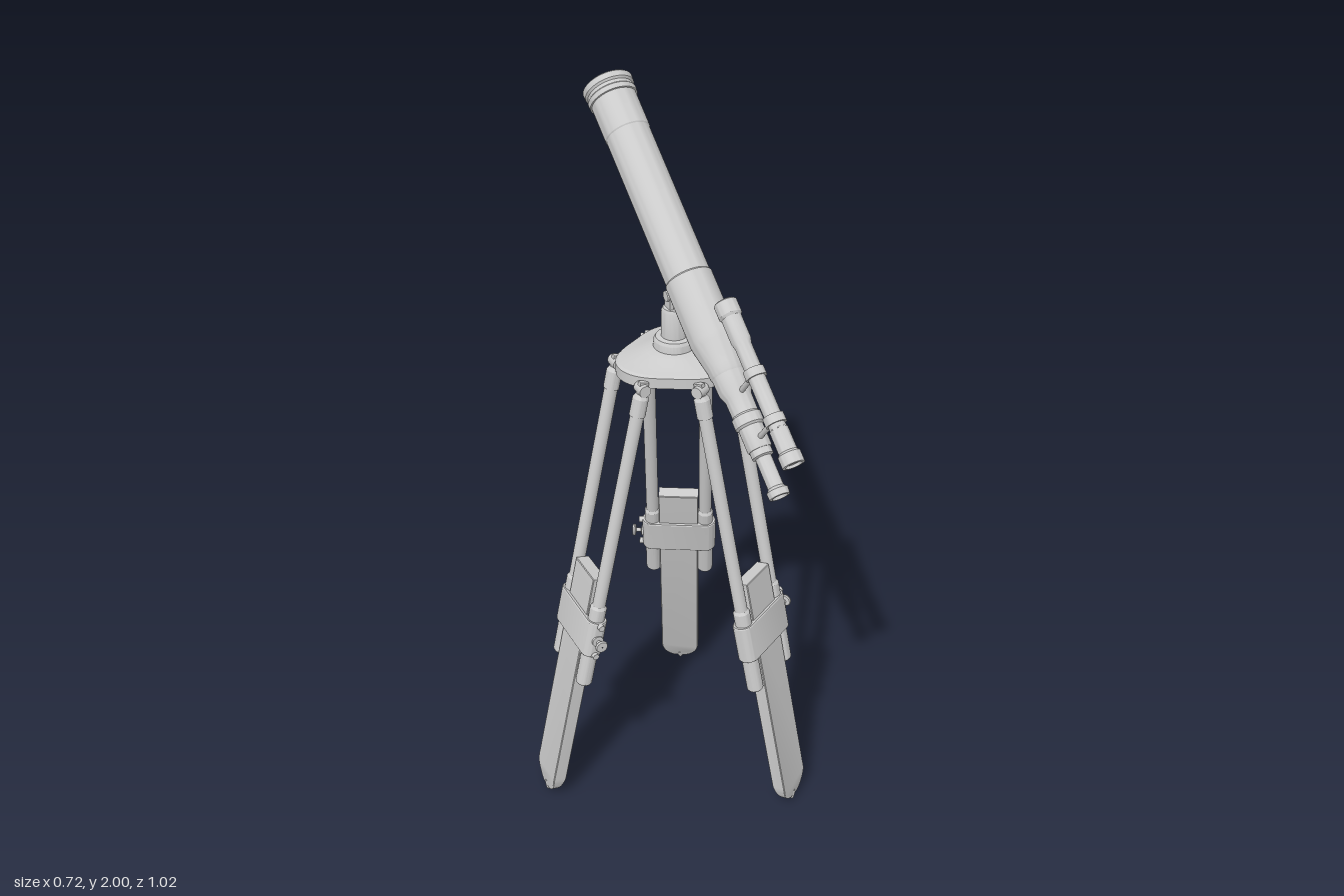
import * as THREE from 'three';
import { toCreasedNormals } from 'three/addons/utils/BufferGeometryUtils.js';

const material = new THREE.MeshStandardMaterial({ color: 0xcccccc });

function add(parent, name, geometry, x = 0, y = 0, z = 0) {
  const mesh = new THREE.Mesh(geometry, material);
  mesh.name = name;
  mesh.position.set(x, y, z);
  parent.add(mesh);
  return mesh;
}

// Turned part from [radius, height] pairs, listed upwards along the outside
function turned(profile, segments = 40) {
  const points = profile.map(([r, y]) => new THREE.Vector2(r, y));
  return toCreasedNormals(new THREE.LatheGeometry(points, segments), 0.5);
}

const cylinder = (r, h, segments = 24) => new THREE.CylinderGeometry(r, r, h, segments);

// Three-lobed, hollow head plate: the rim radius swells towards each leg
function headPlateGeometry(legAngle) {
  const profile = [[0.001, 1.355], [0.135, 1.35], [0.145, 1.333], [0.155, 1.333], [0.155, 1.362],
    [0.148, 1.368], [0.11, 1.374], [0.075, 1.385], [0.05, 1.392], [0.001, 1.392]];
  const geometry = new THREE.LatheGeometry(profile.map(([r, y]) => new THREE.Vector2(r, y)), 96);
  const p = geometry.attributes.position;
  for (let i = 0; i < p.count; i++) {
    const x = p.getX(i), z = p.getZ(i), r = Math.hypot(x, z);
    const lobe = Math.cos(3 * (Math.atan2(z, x) - legAngle));
    const k = 1 + (0.1 * lobe - 0.08) * THREE.MathUtils.smoothstep(r, 0.05, 0.14);
    p.setXYZ(i, x * k, p.getY(i), z * k);
  }
  return toCreasedNormals(geometry, 0.5);
}

// Flat board with rounded lower corners, thinning towards the foot
function boardGeometry() {
  const w = 0.056, top = -0.585, end = -1.342;
  const shape = new THREE.Shape();
  shape.moveTo(-w, top);
  shape.lineTo(-w, end + 0.06);
  shape.quadraticCurveTo(-w + 0.005, end + 0.01, -0.018, end);
  shape.lineTo(0.018, end);
  shape.quadraticCurveTo(w - 0.005, end + 0.01, w, end + 0.06);
  shape.lineTo(w, top);
  const geometry = new THREE.ExtrudeGeometry(shape, {
    depth: 0.036, bevelEnabled: true, bevelSize: 0.002, bevelThickness: 0.002, bevelSegments: 1, curveSegments: 10,
  });
  geometry.translate(0, 0, -0.018);
  const p = geometry.attributes.position;
  for (let i = 0; i < p.count; i++) {
    const taper = THREE.MathUtils.smoothstep(-p.getY(i), 1.275, 1.345);
    p.setZ(i, p.getZ(i) * (1 - 0.5 * taper));
  }
  geometry.rotateY(Math.PI / 2);
  return toCreasedNormals(geometry, 0.5);
}

// Oblong band that wraps both rods and the board
function clampGeometry() {
  const r = 0.027, half = 0.08;
  const shape = new THREE.Shape();
  shape.absarc(half, 0, r, -Math.PI / 2, Math.PI / 2);
  shape.absarc(-half, 0, r, Math.PI / 2, Math.PI * 1.5);
  shape.closePath();
  const geometry = new THREE.ExtrudeGeometry(shape, {
    depth: 0.104, bevelEnabled: true, bevelSize: 0.002, bevelThickness: 0.003, bevelSegments: 1, curveSegments: 14,
  });
  geometry.translate(0, 0, -0.052);
  geometry.rotateX(Math.PI / 2);
  geometry.rotateY(Math.PI / 2);
  return toCreasedNormals(geometry, 0.5);
}

// One leg, hanging along -y from its hinge; x points outwards
function makeLeg() {
  const leg = new THREE.Group();
  leg.name = 'leg';
  leg.position.set(0.13, 1.33, 0);
  leg.rotation.z = 0.212;
  for (const side of [-1, 1]) {
    const z = side * 0.078;
    add(leg, 'rod', cylinder(0.018, 0.87), 0, -0.465, z);
    add(leg, 'rodCap', turned([[0.001, -0.07], [0.021, -0.07], [0.021, -0.02], [0.014, -0.008], [0.001, -0.008]], 24), 0, 0, z);
    add(leg, 'rodSleeve', turned([[0.001, -0.912], [0.02, -0.912], [0.023, -0.907], [0.023, -0.66], [0.018, -0.652]], 24), 0, 0, z);
    add(leg, 'hingeLug', new THREE.BoxGeometry(0.024, 0.045, 0.014), 0, 0.002, z);
    add(leg, 'hingePin', cylinder(0.016, 0.036, 20), 0, 0.004, z).rotation.x = Math.PI / 2;
  }
  add(leg, 'legBoard', boardGeometry());
  add(leg, 'footTip', turned([[0.001, -1.362], [0.005, -1.36], [0.011, -1.345], [0.013, -1.33], [0.001, -1.33]], 16));
  add(leg, 'clamp', clampGeometry(), 0, -0.752, 0);

  // Thumb screw and clamp bolts on one end of the band
  const screw = turned([[0.001, 0], [0.016, 0], [0.016, 0.006], [0.006, 0.008], [0.006, 0.022], [0.016, 0.024],
    [0.018, 0.028], [0.016, 0.033], [0.001, 0.034]], 20);
  add(leg, 'thumbScrew', screw, 0, -0.752, -0.106).rotation.x = -Math.PI / 2;
  for (const y of [-0.705, -0.799]) {
    add(leg, 'clampBolt', cylinder(0.009, 0.014, 16), 0, y, -0.112).rotation.x = Math.PI / 2;
  }
  return leg;
}

// Tube assembly: local y runs along the optical axis from eyepiece to lens
function makeTelescope() {
  const scope = new THREE.Group();
  scope.name = 'telescope';
  const start = new THREE.Vector3(0.03, 1.234, 0.445);
  const axis = new THREE.Vector3(0.115, 1.95, -0.465).sub(start).normalize();
  const normal = new THREE.Vector3(0, 1, 0).addScaledVector(axis, -axis.y).normalize();
  const across = new THREE.Vector3().crossVectors(axis, normal);
  scope.position.copy(start);
  scope.quaternion.setFromRotationMatrix(new THREE.Matrix4().makeBasis(across, axis, normal));

  add(scope, 'eyepiece', turned([[0.001, 0.012], [0.016, 0.008], [0.02, 0], [0.026, 0.001], [0.027, 0.018], [0.02, 0.026],
    [0.02, 0.105], [0.027, 0.108], [0.027, 0.13], [0.02, 0.133]]));
  add(scope, 'focuser', turned([[0.001, 0.125], [0.029, 0.125], [0.031, 0.13], [0.031, 0.185], [0.037, 0.19], [0.037, 0.215],
    [0.033, 0.22], [0.034, 0.265], [0.042, 0.285], [0.044, 0.34]]));
  add(scope, 'mainTube', turned([[0.001, 0.325], [0.043, 0.325], [0.046, 0.332], [0.047, 0.35], [0.059, 0.41], [0.061, 0.425],
    [0.061, 0.592], [0.058, 0.596], [0.058, 1.01], [0.06, 1.013], [0.06, 1.112], [0.057, 1.115]], 48));
  add(scope, 'lensHood', turned([[0.056, 1.11], [0.064, 1.112], [0.065, 1.125], [0.061, 1.129], [0.061, 1.138], [0.066, 1.143],
    [0.067, 1.158], [0.064, 1.161], [0.056, 1.161], [0.053, 1.135], [0.03, 1.14], [0.001, 1.142]], 48));

  // Finder scope on two short posts above the focuser
  const finder = new THREE.Group();
  finder.name = 'finderScope';
  finder.position.z = 0.128;
  scope.add(finder);
  add(finder, 'finderTube', turned([[0.001, 0.044], [0.019, 0.04], [0.021, 0.033], [0.028, 0.034], [0.028, 0.062], [0.023, 0.068],
    [0.023, 0.125], [0.021, 0.128], [0.021, 0.345], [0.025, 0.36], [0.025, 0.42], [0.029, 0.426], [0.029, 0.46],
    [0.026, 0.463], [0.023, 0.46], [0.022, 0.445], [0.001, 0.448]], 32));
  for (const y of [0.15, 0.272]) {
    add(finder, 'finderRing', turned([[0.02, -0.011], [0.026, -0.011], [0.026, 0.011], [0.02, 0.011]], 32), 0, y, 0);
    add(finder, 'finderPost', cylinder(0.007, 0.09, 16), 0, y, -0.06).rotation.x = Math.PI / 2;
  }
  // Saddle under the tube
  add(scope, 'saddle', new THREE.BoxGeometry(0.036, 0.085, 0.016), 0, 0.64, -0.06);
  return scope;
}

export function createModel() {
  const model = new THREE.Group();
  model.name = 'telescopeOnTripod';
  const tripod = new THREE.Group();
  tripod.name = 'tripod';
  tripod.position.set(0.07, 0, -0.08);
  model.add(tripod);

  const firstAngle = THREE.MathUtils.degToRad(66);
  add(tripod, 'headPlate', headPlateGeometry(firstAngle));
  for (let i = 0; i < 3; i++) {
    const arm = new THREE.Group();
    arm.name = 'legMount';
    arm.rotation.y = -(firstAngle + i * Math.PI * 2 / 3);
    arm.add(makeLeg());
    tripod.add(arm);
  }

  // Centre post and tilting joint
  add(tripod, 'centrePost', turned([[0.055, 1.38], [0.053, 1.41], [0.048, 1.418], [0.034, 1.42], [0.033, 1.492], [0.029, 1.5], [0.001, 1.5]]));
  const joint = new THREE.Group();
  joint.name = 'tiltJoint';
  joint.rotation.y = -0.1;
  tripod.add(joint);
  for (const side of [-1, 1]) {
    add(joint, 'jointCheek', new THREE.BoxGeometry(0.009, 0.045, 0.03), side * 0.015, 1.515, 0);
  }
  add(joint, 'jointPin', cylinder(0.014, 0.05, 20), 0, 1.534, 0).rotation.z = Math.PI / 2;
  add(joint, 'jointNeck', cylinder(0.012, 0.08, 20), 0, 1.56, 0.012).rotation.x = 0.4;

  model.add(makeTelescope());
  return model;
}
